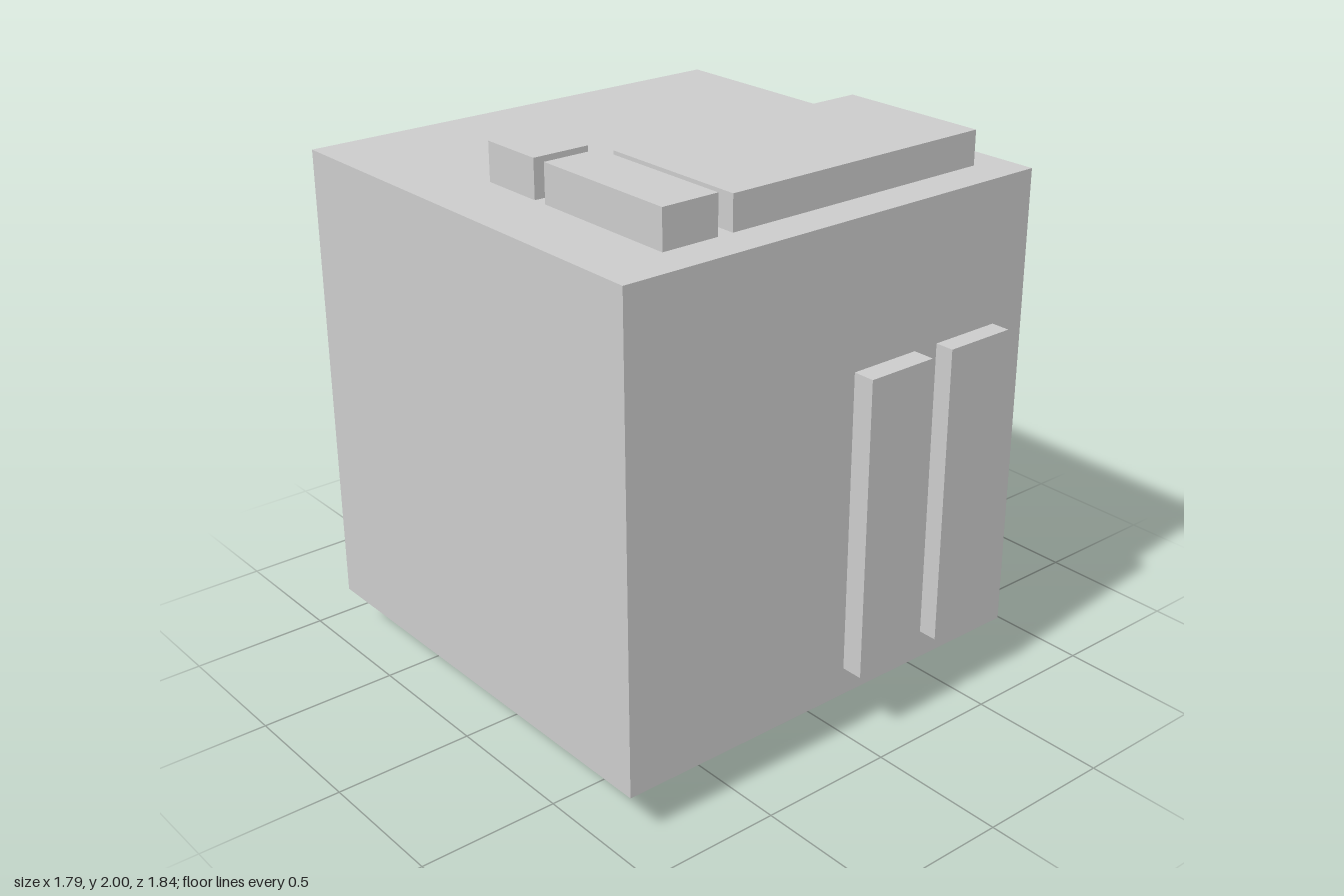
import * as THREE from 'three';

const material = new THREE.MeshStandardMaterial({ color: 0xcccccc, flatShading: true });

// Box given by its lower and upper limits on each axis
function block(name, [x0, x1], [y0, y1], [z0, z1]) {
  const mesh = new THREE.Mesh(new THREE.BoxGeometry(x1 - x0, y1 - y0, z1 - z0), material);
  mesh.position.set((x0 + x1) / 2, (y0 + y1) / 2, (z0 + z1) / 2);
  mesh.name = name;
  return mesh;
}

export function createModel() {
  const group = new THREE.Group();
  group.name = 'blockWithPanels';

  const right = 0.81, bottom = 0.157, top = 1.863, back = -0.785;

  // Main cube
  group.add(block('body', [-0.895, right], [bottom, top], [back, 0.922]));

  // Raised panels on the top
  group.add(block('topLargePanel', [0.093, 0.668], [top, 1.985], [-0.66, 0.395]));
  group.add(block('topFrontPanel', [0.093, 0.668], [top, 2], [0.453, 0.665]));
  group.add(block('topSmallPanel', [-0.208, 0.038], [top, 2], [0.453, 0.665]));

  // Tall panels on the side
  group.add(block('sideFrontPanel', [right, 0.89], [0.26, 1.35], [-0.268, 0.003]));
  group.add(block('sideBackPanel', [right, 0.88], [0.26, 1.35], [-0.642, -0.37]));

  // Panels on the back
  group.add(block('backLargePanel', [-0.757, -0.118], [1.275, 1.685], [-0.922, back]));
  group.add(block('backSmallPanel', [-0.068, 0.02], [1.275, 1.685], [-0.87, back]));

  // L-shaped rails: down the back and forward under the bottom
  const outline = new THREE.Shape([
    [-0.64, 0], [0.882, 0], [0.882, 1.275], [-back, 1.275], [-back, bottom], [-0.64, bottom],
  ].map(([x, y]) => new THREE.Vector2(x, y)));
  const railGeometry = new THREE.ExtrudeGeometry(outline, { depth: 0.081, bevelEnabled: false });
  railGeometry.rotateY(Math.PI / 2); // profile x becomes -z, depth becomes +x
  for (let i = 0; i < 4; i++) {
    const rail = new THREE.Mesh(railGeometry, material);
    rail.position.x = -0.721 + i * 0.159;
    rail.name = `rail${i + 1}`;
    group.add(rail);
  }
  return group;
}
